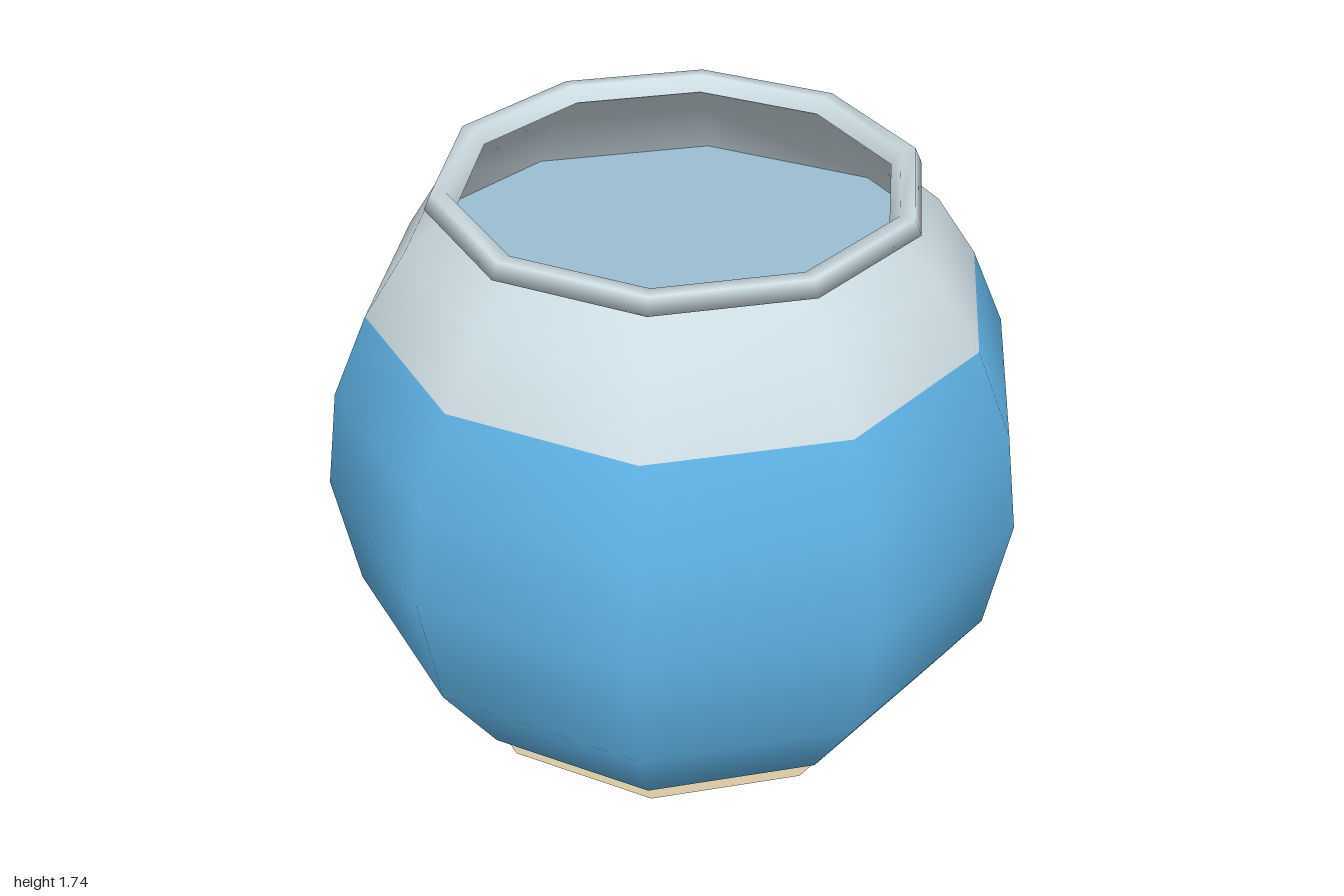
import * as THREE from 'three';

const SIDES = 10, STEP = 360 / SIDES;
// bowl cross-section [radius, height], bottom to neck; row 6 is the waterline
const PROFILE = [[0, 0.005], [0.52, 0.03], [0.77, 0.23], [0.945, 0.52], [1, 0.875],
  [0.955, 1.165], [0.85, 1.4], [0.73, 1.58], [0.59, 1.7]];
const WATERLINE = 6, TOP = PROFILE.length - 1;

// smooth profile normals, averaged from neighbouring segments
const NORMALS = PROFILE.map((p, i) => {
  if (i === 0) return new THREE.Vector2(0, -1);
  const n = new THREE.Vector2();
  for (const k of [i - 1, i]) {
    if (k >= TOP) continue;
    const [r0, y0] = PROFILE[k], [r1, y1] = PROFILE[k + 1];
    n.add(new THREE.Vector2(y1 - y0, r0 - r1).normalize());
  }
  return n.normalize();
});

// direction on the ten-sided outline at an angle (degrees from +x towards +z)
function outline(deg) {
  const k = Math.floor(deg / STEP + 1e-6), corner = (i) => {
    const a = THREE.MathUtils.degToRad(i * STEP);
    return new THREE.Vector2(Math.cos(a), Math.sin(a));
  };
  const half = THREE.MathUtils.degToRad(STEP / 2);
  const t = 0.5 + Math.tan(THREE.MathUtils.degToRad(deg - k * STEP) - half) / (2 * Math.tan(half));
  return corner(k).lerp(corner(k + 1), t);
}

// part of the bowl wall between two angles and two profile rows
function wall(from, to, row0, row1) {
  const angles = [from];
  for (let a = 0; a < 720; a += STEP) if (a > from && a < to) angles.push(a);
  angles.push(to);
  const pos = [], nor = [], idx = [], n = angles.length;
  for (let j = row0; j <= row1; j++) {
    const [r, y] = PROFILE[j], pn = NORMALS[j];
    for (const a of angles) {
      const d = outline(a), u = d.clone().normalize();
      pos.push(d.x * r, y, d.y * r);
      nor.push(u.x * pn.x, pn.y, u.y * pn.x);
    }
  }
  for (let j = 0; j < row1 - row0; j++) {
    for (let i = 0; i < n - 1; i++) {
      const a = j * n + i, b = a + n;
      idx.push(a, b, a + 1, a + 1, b, b + 1);
    }
  }
  const g = new THREE.BufferGeometry();
  g.setAttribute('position', new THREE.Float32BufferAttribute(pos, 3));
  g.setAttribute('normal', new THREE.Float32BufferAttribute(nor, 3));
  g.setIndex(idx);
  return g;
}

export function createModel() {
  const group = new THREE.Group();
  const material = (name, color) => {
    const m = new THREE.MeshStandardMaterial({ color, side: THREE.DoubleSide });
    m.name = name;
    return m;
  };
  const glass = material('clear glass', 0xcddce3);
  const water = material('blue water', 0x5db0e2);
  const pale = material('pale water', 0x9bbfd3);
  const sand = material('sand', 0xd8caa6);
  const add = (name, geometry, mat) => {
    const mesh = new THREE.Mesh(geometry, mat);
    mesh.name = name;
    group.add(mesh);
    return mesh;
  };

  // bowl wall: blue water all round, with a pale section and clear window at the back
  const [p0, w0, w1, p1] = [225, 248, 280, 289];
  add('waterBody', wall(p1, p0 + 360, 0, WATERLINE), water);
  add('paleBackRight', wall(p0, w0, 0, WATERLINE), pale);
  add('paleBackLeft', wall(w1, p1, 0, WATERLINE), pale);
  add('paleBackBottom', wall(w0, w1, 0, 2), pale);
  add('backWindow', wall(w0, w1, 2, WATERLINE), glass);
  add('glassNeck', wall(0, 360, WATERLINE, TOP), glass);

  // water surface inside the neck
  add('waterSurface', new THREE.CircleGeometry(0.85, SIDES).rotateX(-Math.PI / 2), pale)
    .position.y = 1.4;

  // rolled rim
  const rim = [[0.585, 1.7], [0.67, 1.7], [0.65, 1.742], [0.61, 1.742], [0.585, 1.7]]
    .map(([r, y]) => new THREE.Vector2(r, y));
  add('rim', new THREE.LatheGeometry(rim, SIDES).rotateY(Math.PI / 2), glass);

  // thin sand layer edge showing around the base
  add('sandRing', new THREE.RingGeometry(0.6, 0.7, SIDES).rotateX(-Math.PI / 2), sand)
    .position.y = 0.125;
  return group;
}
